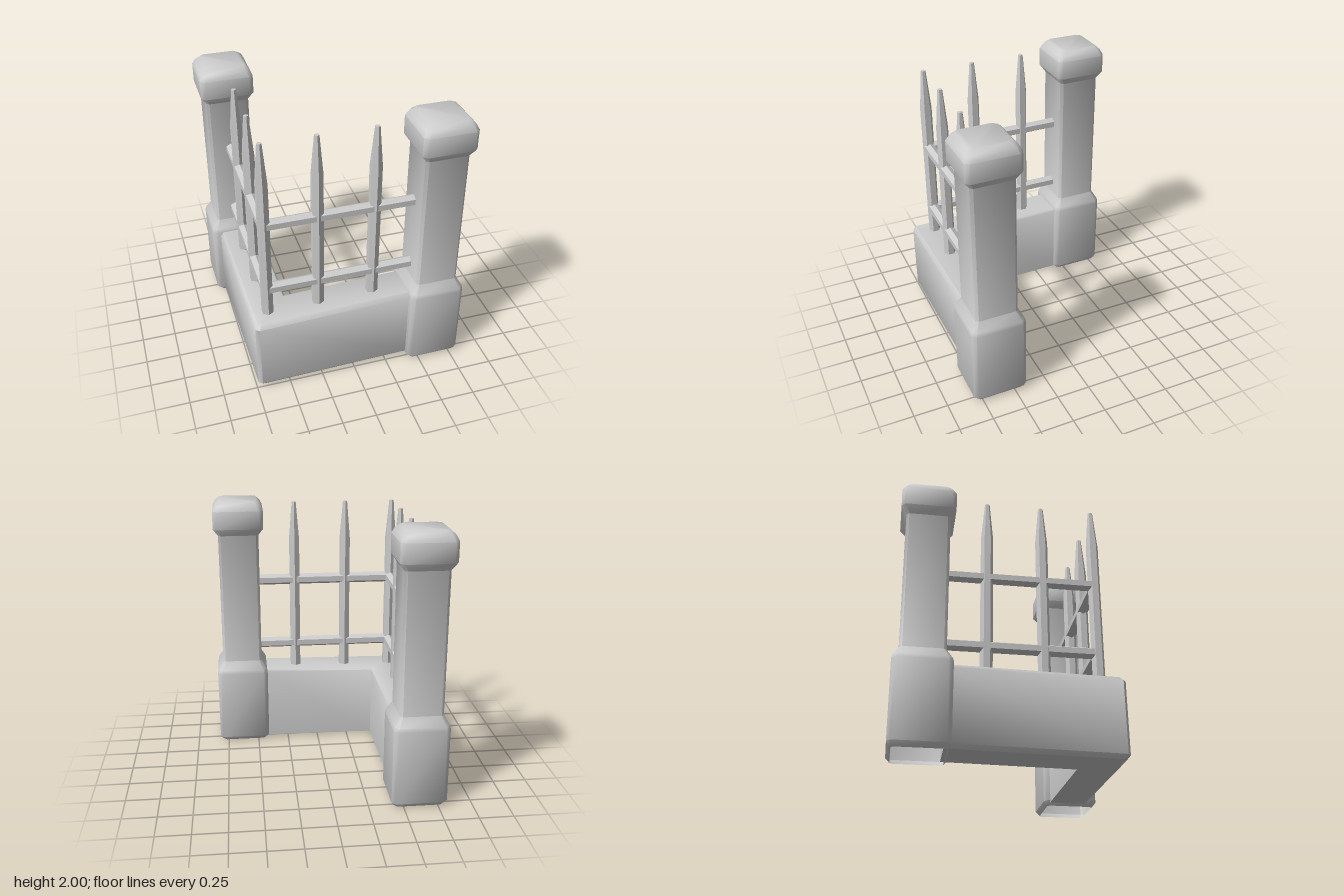
import * as THREE from 'three';
import { toCreasedNormals } from 'three/addons/utils/BufferGeometryUtils.js';

const material = new THREE.MeshStandardMaterial({ color: 0xcccccc });
const openMaterial = new THREE.MeshStandardMaterial({ color: 0xcccccc, side: THREE.DoubleSide });

function addMesh(parent, name, geometry, mat = material) {
  const mesh = new THREE.Mesh(geometry, mat);
  mesh.name = name;
  parent.add(mesh);
  return mesh;
}

// Skins closed rings of equal length; ends may be closed with a fan.
function loft(rings, capStart, capEnd, crease) {
  const n = rings[0].length;
  const index = [];
  for (let i = 0; i < rings.length - 1; i++) {
    for (let j = 0; j < n; j++) {
      const a = i * n + j, b = i * n + (j + 1) % n;
      index.push(a, b, b + n, a, b + n, a + n);
    }
  }
  const last = (rings.length - 1) * n;
  for (let j = 1; j < n - 1; j++) {
    if (capStart) index.push(0, j + 1, j);
    if (capEnd) index.push(last, last + j, last + j + 1);
  }
  const geometry = new THREE.BufferGeometry();
  geometry.setAttribute('position', new THREE.Float32BufferAttribute(rings.flat(2), 3));
  geometry.setIndex(index);
  return toCreasedNormals(geometry, crease);
}

// Square ring with chamfered corners, counter-clockwise from above.
function squareRing(half, y, chamfer) {
  const h = half, k = half - chamfer;
  return [[h, k], [h, -k], [k, -h], [-k, -h], [-h, -k], [-h, k], [-k, h], [k, h]]
    .map(([x, z]) => [x, y, z]);
}

function createPillar() {
  // [half width, height, corner chamfer]: plinth, shaft, cap
  const profile = [
    [0.175, 0, 0.02], [0.203, 0.035, 0.03], [0.203, 0.6, 0.03], [0.197, 0.625, 0.03],
    [0.157, 0.695, 0.02], [0.157, 1.735, 0.02], [0.195, 1.79, 0.03],
    [0.195, 1.93, 0.03], [0.175, 1.97, 0.03], [0.145, 2, 0.03],
  ];
  return loft(profile.map(([h, y, c]) => squareRing(h, y, c)), false, true, 0.8);
}

function createWall() {
  // Stations along the L: inner [x, z], outer [x, z], bottom, top
  const stations = [
    [[0.46, 0.45], [0.46, 0.745], 0.02, 0.61],
    [[-0.455, 0.457], [-0.71, 0.757], 0.01, 0.588],
    [[-0.455, 0.457], [-0.737, 0.735], 0.01, 0.588],
    [[-0.46, -0.46], [-0.76, -0.46], 0.02, 0.6],
  ];
  // Section: [inner-to-outer fraction, height above bottom or below top]
  const section = [
    [0, 0.0], [0.92, 0], [1, 0.03], [1, -0.03], [0.92, 0], [0.05, 0], [0, -0.015],
  ];
  const rings = stations.map(([inner, outer, bottom, top]) => section.map(([t, dy], i) => [
    inner[0] + (outer[0] - inner[0]) * t,
    (i < 3 ? bottom : top) + dy,
    inner[1] + (outer[1] - inner[1]) * t,
  ]));
  return loft(rings, true, true, 0.8);
}

export function createModel() {
  const model = new THREE.Group();
  model.name = 'cornerFence';

  // Stone pillars at both ends
  const pillar = createPillar();
  addMesh(model, 'backPillar', pillar, openMaterial).position.set(-0.615, 0, -0.615);
  addMesh(model, 'frontPillar', pillar, openMaterial).position.set(0.615, 0, 0.608);

  // L-shaped base wall
  addMesh(model, 'baseWall', createWall());

  // Six-sided pickets with tapered tips
  const cornerX = -0.615, cornerZ = 0.6;
  const picket = toCreasedNormals(new THREE.LatheGeometry([
    new THREE.Vector2(0, 0.56), new THREE.Vector2(0.045, 0.56), new THREE.Vector2(0.045, 1.67),
    new THREE.Vector2(0.018, 1.97), new THREE.Vector2(0, 1.97),
  ], 6), 0.4);
  const spots = [[cornerX, cornerZ], [-0.24, cornerZ], [0.17, cornerZ], [cornerX, 0.22], [cornerX, -0.18]];
  for (const [x, z] of spots) addMesh(model, 'picket', picket).position.set(x, 0, z);

  // Two levels of horizontal rails on each side
  const rail = toCreasedNormals(new THREE.CylinderGeometry(0.043, 0.043, 1.09, 6), 0.4);
  for (const y of [0.8, 1.34]) {
    const front = addMesh(model, 'frontRail', rail);
    front.rotation.set(Math.PI / 2, 0, Math.PI / 2, 'ZYX');
    front.rotation.set(0, 0, Math.PI / 2);
    front.rotateY(Math.PI / 2);
    front.position.set(cornerX + 0.545, y, cornerZ);
    const side = addMesh(model, 'sideRail', rail);
    side.rotation.x = Math.PI / 2;
    side.position.set(cornerX, y, cornerZ - 0.545);
  }
  return model;
}
